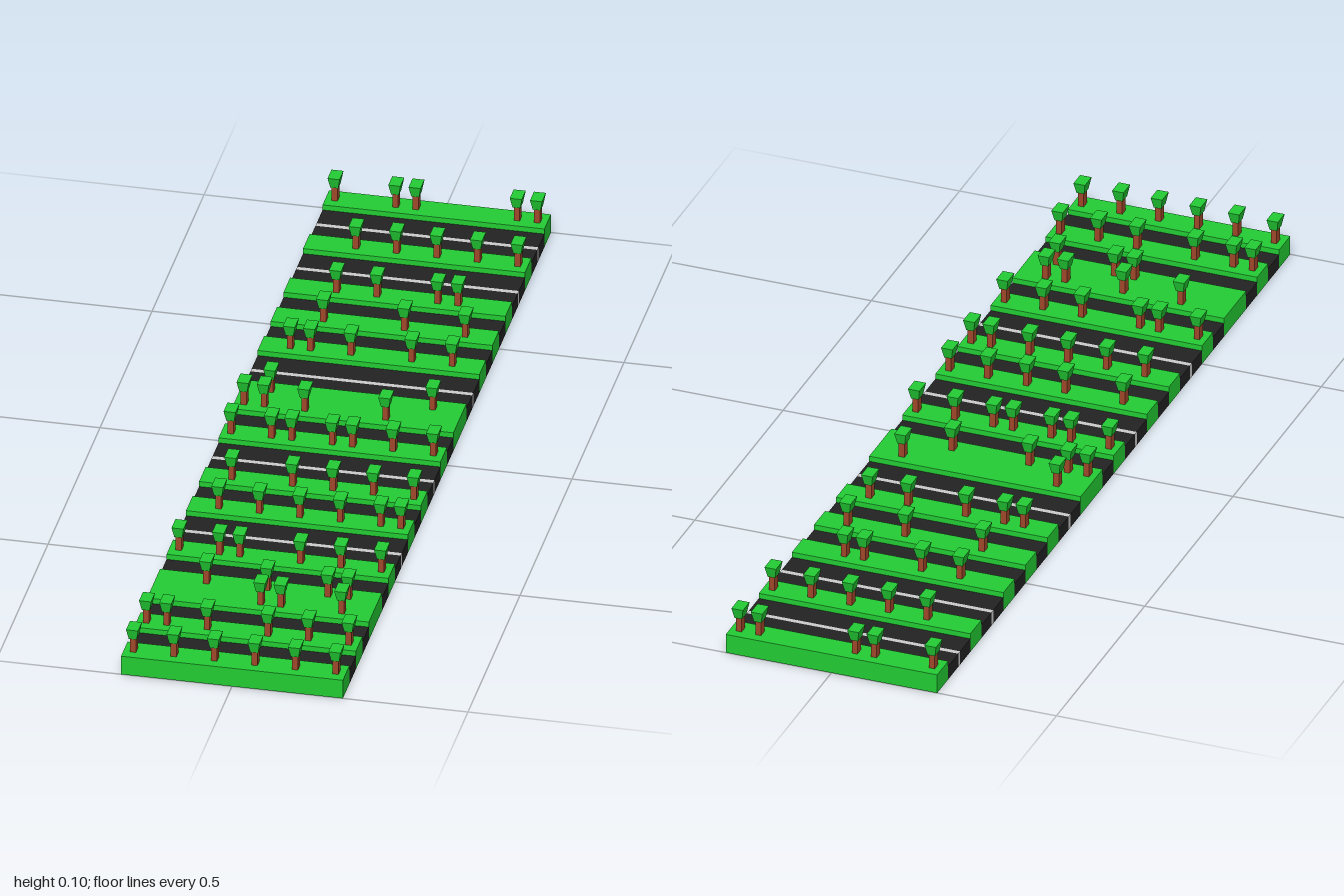
import * as THREE from 'three';

const WIDTH = 0.47, PITCH = 0.0625, SLOT = 0.0429;
const GRASS_TOP = 0.043, ROAD_TOP = 0.031, LINE = 0.011;

const paint = (color) => new THREE.MeshStandardMaterial({ color, flatShading: true });
const green = paint(0x22cc33), asphalt = paint(0x222222), white = paint(0xcccccc), brown = paint(0xa0482a);

// Lanes from back to front: G = grass, R = road
const LANES = 'GRRGRRGRGRGRRGGRGRRGRGRRGRGGRGRG';

// Tree slots (-5..5 across the strip) for each grass lane, back to front
const TREES = [
  [-5, -2, -1, 4, 5], [-3, -1, 1, 3, 5], [-3, -1, 2, 3], [-3, 1, 4],
  [-4, -3, -1, 2, 4], [-4, 4], [-5, -4, -2, 2], [-5, -3, -2, 0, 1, 3, 5],
  [-4, -1, 1, 3, 5], [-4, -2, 0, 2, 4, 5], [-5, -3, -2, 1, 3, 5],
  [-3, 0, 3, 4], [0, 1, 4], [-5, -4, -2, 1, 3, 5], [-5, -3, -1, 1, 3, 5],
];

function addMesh(parent, name, geometry, material, x, y, z) {
  const mesh = new THREE.Mesh(geometry, material);
  mesh.name = name;
  mesh.position.set(x, y, z);
  parent.add(mesh);
}

export function createModel() {
  const model = new THREE.Group();
  model.name = 'laneBoard';

  const grassGeo = new THREE.BoxGeometry(WIDTH, GRASS_TOP, PITCH);
  const roadGeo = new THREE.BoxGeometry(WIDTH, ROAD_TOP, PITCH);
  const halfRoadGeo = new THREE.BoxGeometry(WIDTH, ROAD_TOP, PITCH - LINE / 2);
  const lineGeo = new THREE.BoxGeometry(WIDTH, ROAD_TOP, LINE);
  const trunkGeo = new THREE.BoxGeometry(0.0125, 0.034, 0.019);
  // Square crown, narrower at the bottom
  const crownGeo = new THREE.CylinderGeometry(Math.SQRT1_2, Math.SQRT1_2 * 0.65, 1, 4)
    .rotateY(Math.PI / 4).scale(0.0255, 0.025, 0.038);

  let grassIndex = 0;
  [...LANES].forEach((lane, i) => {
    const z = -1 + (i + 0.5) * PITCH;
    if (lane === 'G') {
      addMesh(model, 'grassLane', grassGeo, green, 0, GRASS_TOP / 2, z);
      for (const slot of TREES[grassIndex++]) {
        const tree = new THREE.Group();
        tree.name = 'tree';
        tree.position.set(slot * SLOT, GRASS_TOP, z);
        addMesh(tree, 'trunk', trunkGeo, brown, 0, 0.017, 0);
        addMesh(tree, 'crown', crownGeo, green, 0, 0.0445, 0);
        model.add(tree);
      }
      return;
    }
    // Neighbouring road lanes are parted by a pale line
    const before = LANES[i - 1] === 'R', after = LANES[i + 1] === 'R';
    const shift = before ? LINE / 4 : after ? -LINE / 4 : 0;
    addMesh(model, 'roadLane', shift ? halfRoadGeo : roadGeo, asphalt, 0, ROAD_TOP / 2, z + shift);
    if (after) addMesh(model, 'laneLine', lineGeo, white, 0, ROAD_TOP / 2, z + PITCH / 2);
  });
  return model;
}
